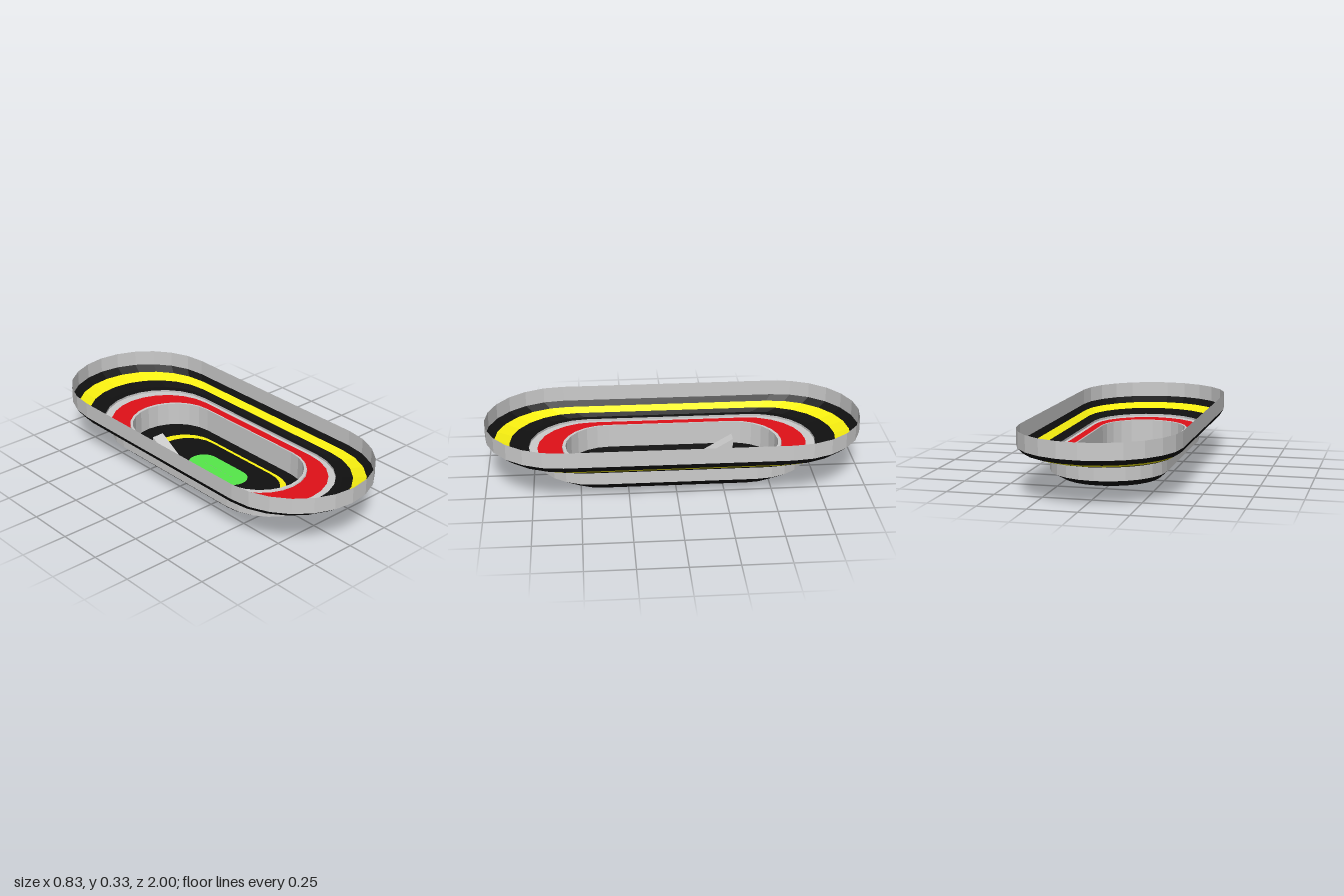
import * as THREE from 'three';

const ARC = 12; // facets on each rounded end

const COLORS = {
  grey: 0xcccccc, black: 0x101010, yellow: 0xf8f010, red: 0xe01018, green: 0x55e84a,
};

function material(name) {
  return new THREE.MeshStandardMaterial({
    color: COLORS[name], flatShading: true, side: THREE.DoubleSide,
  });
}

// Outline of a slot with round ends: w half width, l half length, y height, c shift in z
function loop([w, l, y, c = 0]) {
  const points = [];
  for (const end of [1, -1]) {
    for (let i = 0; i <= ARC; i++) {
      const a = (i / ARC) * Math.PI;
      points.push([end * w * Math.cos(a), y, c + end * (l - w + w * Math.sin(a))]);
    }
  }
  return points;
}

// Band skinned between successive slot outlines, listed from the outside in
function band(name, color, ...rings) {
  const loops = rings.map(loop);
  const n = loops[0].length;
  const index = [];
  for (let r = 0; r + 1 < loops.length; r++) {
    for (let i = 0; i < n; i++) {
      const a = r * n + i, b = r * n + ((i + 1) % n);
      index.push(a, a + n, b, b, a + n, b + n);
    }
  }
  const geometry = new THREE.BufferGeometry();
  geometry.setAttribute('position', new THREE.Float32BufferAttribute(loops.flat(2), 3));
  geometry.setIndex(index);
  geometry.computeVertexNormals();
  const mesh = new THREE.Mesh(geometry, material(color));
  mesh.name = name;
  return mesh;
}

export function createModel() {
  const group = new THREE.Group();
  group.name = 'arena';

  // Outline stations: half width, half length, height, z shift
  const rimTop = [0.415, 1.0, 0.33];
  const rimBase = [0.415, 1.0, 0.245];
  const stripeOuter = [0.397, 0.955, 0.214];
  const stripeInner = [0.362, 0.875, 0.19];
  const ledgeTop = [0.318, 0.77, 0.171, 0.003];
  const ledgeBase = [0.318, 0.77, 0.159, 0.003];
  const wallTop = [0.3, 0.723, 0.159, 0.005];
  const wallBase = [0.3, 0.72, 0.086, 0.005];
  const lipOuter = [0.246, 0.592, 0.16, 0.005];
  const lipTop = [0.244, 0.59, 0.167, 0.005];
  const lipInner = [0.236, 0.573, 0.167, 0.005];
  const pitBase = [0.236, 0.573, 0.036, 0.005];
  const bowlMiddle = [0.253, 0.625, 0.042, 0.007];
  const lineOuter = [0.19, 0.46, 0.022, 0.015];
  const lineInner = [0.175, 0.415, 0.02, 0.016];
  const padEdge = [0.083, 0.198, 0.018, 0.022];

  // Upper bowl
  group.add(
    band('rimWall', 'grey', rimTop, rimBase),
    band('upperSlope', 'black', rimBase, stripeOuter),
    band('upperStripe', 'yellow', stripeOuter, stripeInner),
    band('lowerSlope', 'black', stripeInner, [0.34, 0.81, 0.174, 0.002], ledgeTop),
    band('ledge', 'grey', ledgeTop, ledgeBase, wallTop),
  );

  // Middle shelf with the pit walls
  group.add(
    band('shelf', 'red', wallTop, lipOuter),
    band('shelfLip', 'grey', lipOuter, lipTop, lipInner),
    band('pitInnerWall', 'grey', lipInner, pitBase),
    band('pitOuterWall', 'grey', wallTop, wallBase),
  );

  // Lower bowl
  group.add(
    band('pitFloor', 'black', wallBase, bowlMiddle, lineOuter),
    band('floorLine', 'yellow', lineOuter, lineInner),
    band('centreFloor', 'black', lineInner, padEdge),
  );

  // Pad in the middle of the floor
  const pad = band('centrePad', 'green', padEdge, [0.0005, 0.115, 0.018, 0.022]);
  group.add(pad);

  // Wedge ramp, its tip towards the front
  const wedge = new THREE.Shape([
    new THREE.Vector2(0.14, 0.016),
    new THREE.Vector2(0.335, 0.13),
    new THREE.Vector2(0.335, 0.0),
  ]);
  const rampGeometry = new THREE.ExtrudeGeometry(wedge, { depth: 0.07, bevelEnabled: false });
  rampGeometry.rotateY(Math.PI / 2);
  rampGeometry.translate(-0.159, 0, 0);
  const ramp = new THREE.Mesh(rampGeometry, material('grey'));
  ramp.name = 'ramp';
  group.add(ramp);

  return group;
}
